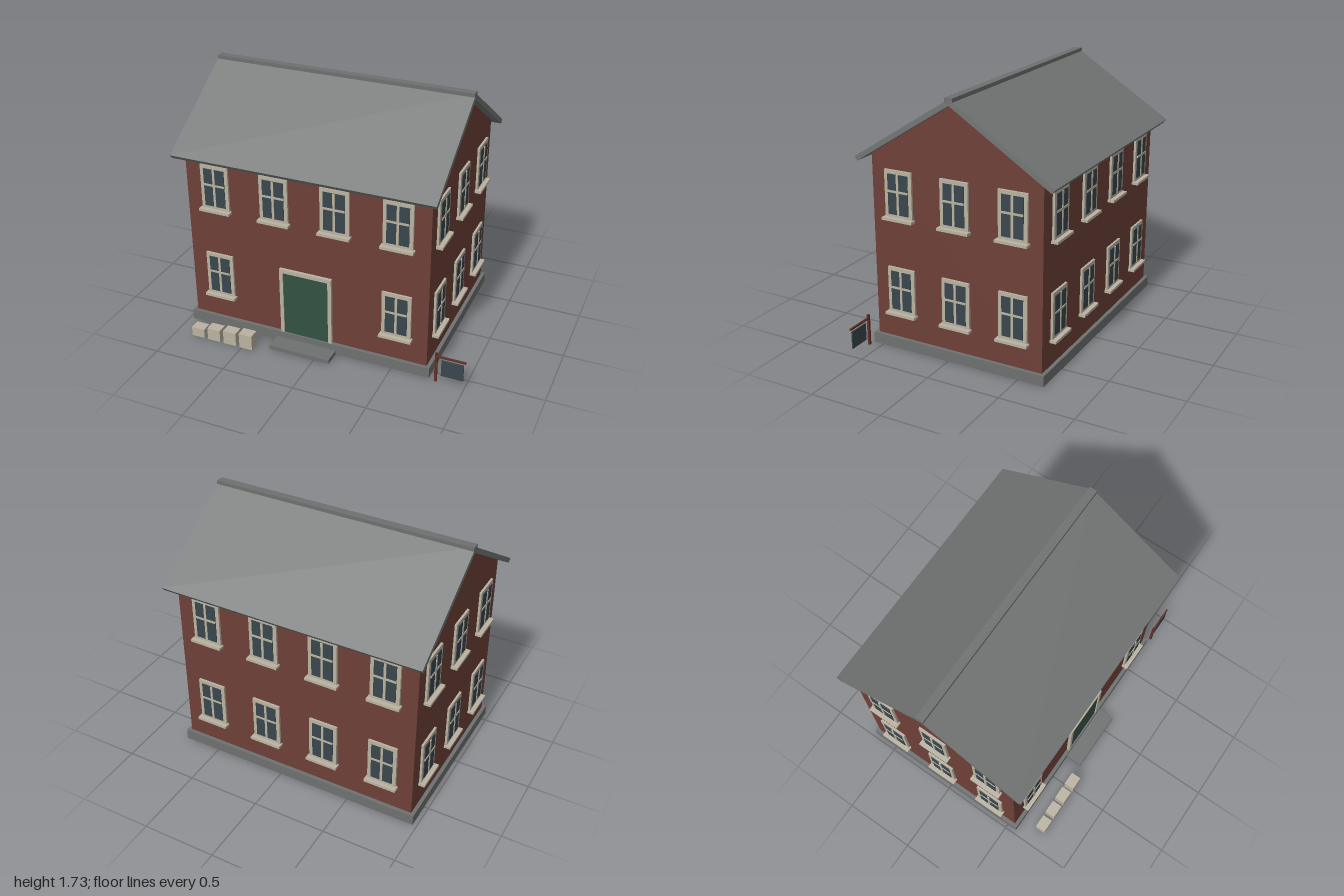
import * as THREE from 'three';

const mat = (name, color) => {
  const m = new THREE.MeshStandardMaterial({ color });
  m.name = name;
  return m;
};

export function createModel() {
  const brick = mat('brick', 0x6e4038);
  const slate = mat('roof slate', 0x747676);
  const stone = mat('grey stone', 0x6f7070);
  const trim = mat('pale stone', 0xbab3a2);
  const glass = mat('window glass', 0x3a464e);
  const green = mat('door green', 0x345143);
  const wood = mat('dark red wood', 0x633028);

  const model = new THREE.Group();
  model.name = 'townHouse';

  // Box given by its minimum and maximum corners
  const box = (parent, name, m, x0, x1, y0, y1, z0, z1) => {
    const mesh = new THREE.Mesh(new THREE.BoxGeometry(x1 - x0, y1 - y0, z1 - z0), m);
    mesh.position.set((x0 + x1) / 2, (y0 + y1) / 2, (z0 + z1) / 2);
    mesh.name = name;
    parent.add(mesh);
    return mesh;
  };

  // Profile of [z, y] points swept along x, centred on x = 0
  const sweep = (parent, name, m, points, length) => {
    const shape = new THREE.Shape(points.map(([z, y]) => new THREE.Vector2(z, y)));
    const geo = new THREE.ExtrudeGeometry(shape, { depth: length, bevelEnabled: false });
    geo.translate(0, 0, -length / 2).rotateY(-Math.PI / 2);
    const mesh = new THREE.Mesh(geo, m);
    mesh.name = name;
    parent.add(mesh);
  };

  const house = new THREE.Group();
  house.name = 'house';
  house.position.set(-0.107, 0, -0.055);
  model.add(house);

  const HX = 0.84, HZ = 0.6;

  // Plinth, gabled walls, roof and ridge
  box(house, 'plinth', stone, -0.865, 0.865, 0, 0.072, -0.625, 0.625);
  sweep(house, 'walls', brick,
    [[-HZ, 0.06], [HZ, 0.06], [HZ, 1.302], [0, 1.685], [-HZ, 1.302]], HX * 2);
  sweep(house, 'roof', slate,
    [[0.675, 1.254], [0.695, 1.28], [0, 1.722], [-0.695, 1.28], [-0.675, 1.254], [0, 1.683]], 1.786);
  box(house, 'ridgeCap', stone, -0.893, 0.893, 1.695, 1.73, -0.027, 0.027);

  // Window facing +z with its wall plane at z = 0, bottom of the frame at y = 0
  const addWindow = (wall, x, y) => {
    const w = new THREE.Group();
    w.name = 'window';
    w.position.set(x, y, 0);
    box(w, 'windowFrame', trim, -0.099, 0.099, 0, 0.312, -0.01, 0.015);
    box(w, 'windowPane', glass, -0.074, 0.074, 0.022, 0.287, 0, 0.019);
    box(w, 'verticalBar', trim, -0.008, 0.008, 0.022, 0.287, 0.01, 0.023);
    box(w, 'crossBar', trim, -0.074, 0.074, 0.168, 0.182, 0.01, 0.023);
    box(w, 'windowSill', trim, -0.11, 0.11, -0.016, 0.002, -0.01, 0.045);
    wall.add(w);
  };

  // Windows on all four walls; the front leaves the doorway free below
  const cols4 = [-0.63, -0.21, 0.21, 0.63];
  const cols3 = [-0.403, 0, 0.403];
  const sides = [
    ['frontWindows', 0, HZ, cols4, [cols4[0], cols4[3]]],
    ['leftWindows', Math.PI / 2, HX, cols3, cols3],
    ['backWindows', Math.PI, HZ, cols4, cols4],
    ['rightWindows', -Math.PI / 2, HX, cols3, cols3],
  ];
  for (const [name, angle, dist, upper, lower] of sides) {
    const wall = new THREE.Group();
    wall.name = name;
    wall.rotation.y = angle;
    wall.position.set(Math.sin(angle) * dist, 0, Math.cos(angle) * dist);
    upper.forEach((x) => addWindow(wall, x, 0.904));
    lower.forEach((x) => addWindow(wall, x, 0.252));
    house.add(wall);
  }

  // Door with surround, and the front step
  const door = new THREE.Group();
  door.name = 'frontDoor';
  house.add(door);
  for (const s of [-1, 1]) {
    const x = s * 0.172;
    box(door, 'doorJamb', trim, x - 0.0125, x + 0.0125, 0.06, 0.563, HZ - 0.01, HZ + 0.022);
  }
  box(door, 'doorLintel', trim, -0.16, 0.16, 0.536, 0.563, HZ - 0.01, HZ + 0.022);
  box(door, 'doorPanel', green, -0.16, 0.16, 0.06, 0.537, HZ - 0.01, HZ + 0.014);
  box(model, 'frontStep', stone, -0.323, 0.108, 0, 0.029, 0.56, 0.687);

  // Row of stone blocks growing in height
  [0.066, 0.087, 0.098, 0.109].forEach((h, i) => {
    const x = -0.829 + i * 0.1203;
    box(model, 'stoneBlock', trim, x - 0.047, x + 0.047, 0, h, 0.677, 0.749);
  });

  // Hanging sign on a post
  const sign = new THREE.Group();
  sign.name = 'hangingSign';
  model.add(sign);
  box(sign, 'signPost', wood, 0.798, 0.814, 0, 0.215, 0.57, 0.586);
  box(sign, 'signArm', wood, 0.806, 1.0, 0.184, 0.196, 0.572, 0.584);
  box(sign, 'signBoard', glass, 0.841, 0.988, 0.05, 0.169, 0.574, 0.582);

  return model;
}
